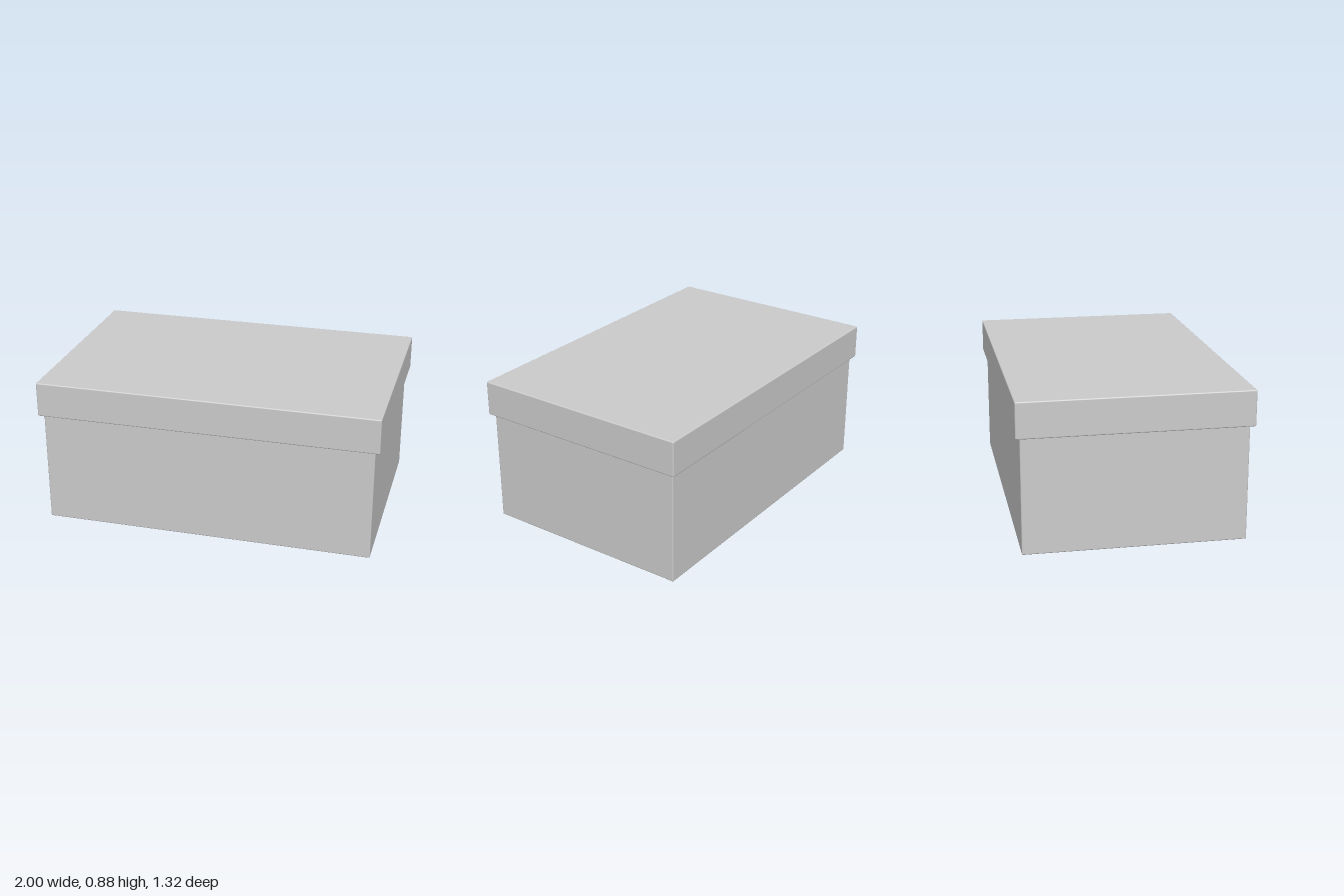
import * as THREE from 'three';
import { RoundedBoxGeometry } from 'three/addons/geometries/RoundedBoxGeometry.js';

const material = new THREE.MeshStandardMaterial({ color: 0xcccccc });

// Box with slightly softened edges, standing on height y0
function softBox(name, width, depth, y0, y1) {
  const mesh = new THREE.Mesh(new RoundedBoxGeometry(width, y1 - y0, depth, 2, 0.007), material);
  mesh.name = name;
  mesh.position.y = (y0 + y1) / 2;
  return mesh;
}

export function createModel() {
  const group = new THREE.Group();
  group.name = 'storageBox';

  // Body runs up a little into the lid
  group.add(softBox('body', 1.944, 1.266, 0, 0.7));

  // Overhanging lid
  group.add(softBox('lid', 2, 1.316, 0.67, 0.876));

  // Thin label floating just off the right end
  const label = new THREE.Mesh(
    new THREE.PlaneGeometry(0.52, 0.25),
    new THREE.MeshStandardMaterial({ color: 0xcccccc, side: THREE.DoubleSide })
  );
  label.name = 'label';
  label.rotation.y = -Math.PI / 2;
  label.position.set(-0.992, 0.425, 0);
  group.add(label);

  return group;
}
